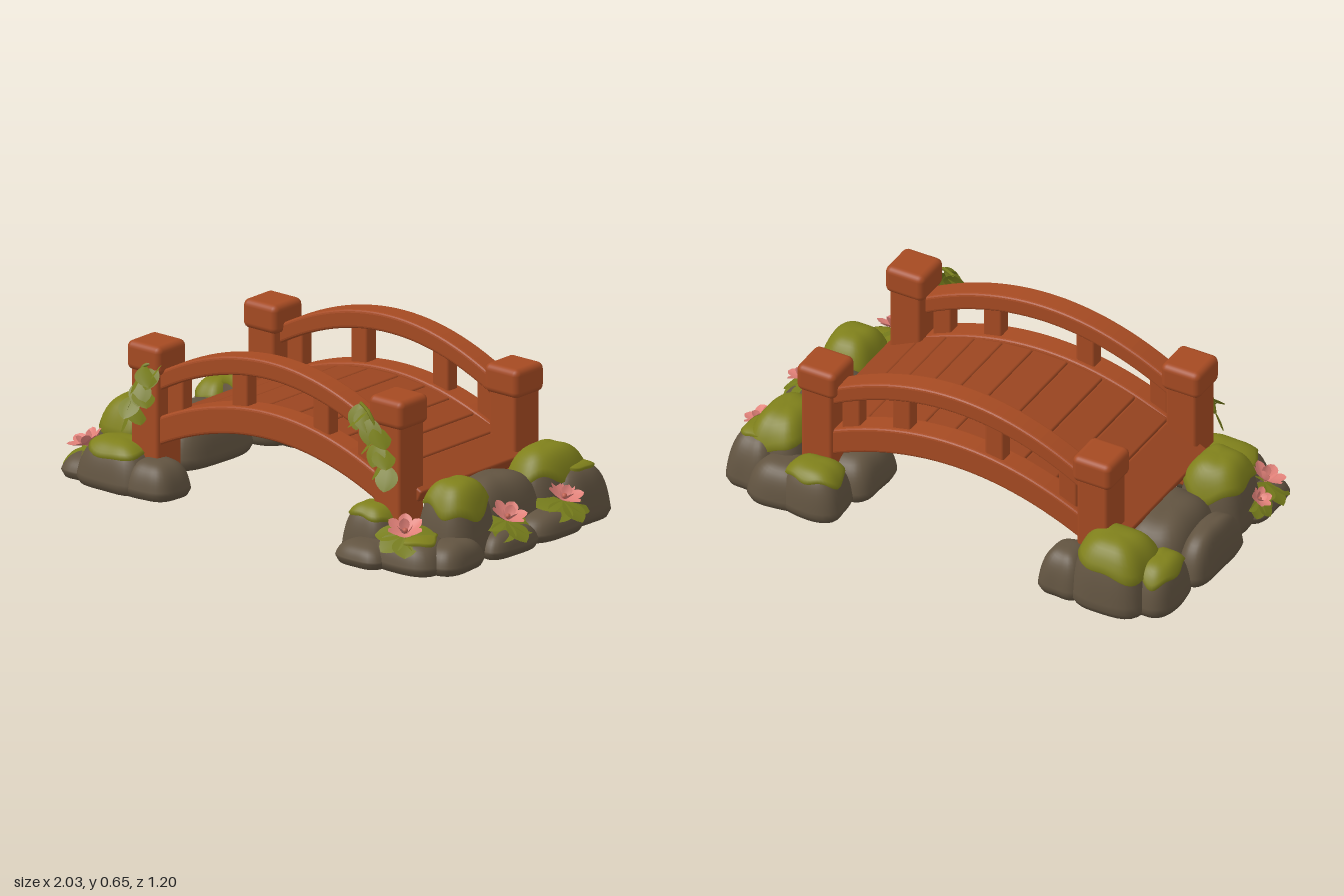
import * as THREE from 'three';
import { RoundedBoxGeometry } from 'three/addons/geometries/RoundedBoxGeometry.js';

const mat = (name, color, side = THREE.FrontSide) => {
  const m = new THREE.MeshStandardMaterial({ color, side });
  m.name = name;
  return m;
};

export function createModel() {
  const wood = mat('red wood', 0xa54a22);
  const plankWood = mat('plank wood', 0x9a4520);
  const stone = mat('stone', 0x625441);
  const moss = mat('moss', 0x7f801b, THREE.DoubleSide);
  const leafGreen = mat('leaf green', 0x777d1c, THREE.DoubleSide);
  const pink = mat('petal pink', 0xe08078, THREE.DoubleSide);
  const heart = mat('flower heart', 0xc0604f);

  const model = new THREE.Group();
  model.name = 'gardenBridge';
  const add = (name, geo, material, parent = model) => {
    const m = new THREE.Mesh(geo, material);
    m.name = name;
    parent.add(m);
    return m;
  };
  const box = (name, x, y, z, w, h, d, r, material = wood) => {
    const m = add(name, new RoundedBoxGeometry(w, h, d, 3, r), material);
    m.position.set(x, y, z);
    return m;
  };

  // Arched timbers: a band between two parabolas, extruded across z
  const arch = (name, top, bottom, curve, half, z, depth) => {
    const b = 0.012, n = 28, lower = [], upper = [];
    for (let i = 0; i <= n; i++) {
      const x = -half + (2 * half * i) / n, drop = curve * x * x;
      lower.push(new THREE.Vector2(x, bottom + b - drop));
      upper.unshift(new THREE.Vector2(x, top - b - drop));
    }
    const g = new THREE.ExtrudeGeometry(new THREE.Shape([...lower, ...upper]), {
      depth: depth - 2 * b, bevelSize: b, bevelThickness: b, bevelSegments: 3,
    });
    g.translate(0, 0, z - depth / 2 + b);
    add(name, g, wood);
  };
  for (const [side, z, top] of [['front', 0.333, 0.638], ['back', -0.365, 0.65]]) {
    arch(side + 'Handrail', top, top - 0.075, 0.52, 0.57, z, 0.095);
    arch(side + 'Beam', 0.437, 0.325, 0.45, 0.6, z, 0.1);
    for (const x of [-0.485, -0.165, 0.24, 0.46]) {
      const lo = 0.39 - 0.45 * x * x, hi = top - 0.03 - 0.52 * x * x;
      box(side + 'Baluster', x, (lo + hi) / 2, z, 0.08, hi - lo, 0.06, 0.01);
    }
  }

  // Posts with blocky caps: x, z, cap top
  for (const [x, z, top] of [
    [-0.61, 0.325, 0.585], [0.587, 0.315, 0.62], [-0.61, -0.355, 0.58], [0.592, -0.355, 0.58],
  ]) {
    box('post', x, (top - 0.02) / 2 + 0.02, z, 0.135, top - 0.06, 0.145, 0.015);
    box('postCap', x, top - 0.058, z, 0.17, 0.116, 0.168, 0.026);
  }

  // Deck planks following the arch
  const edges = [-0.705, -0.53, -0.39, -0.25, -0.1, 0.05, 0.18, 0.3, 0.42, 0.53, 0.67];
  for (let i = 0; i < edges.length - 1; i++) {
    const x = (edges[i] + edges[i + 1]) / 2, slope = Math.atan(-0.8 * x);
    const w = (edges[i + 1] - edges[i]) / Math.cos(slope);
    const p = box('plank', x, 0.395 - 0.4 * x * x, -0.02, w, 0.05, 0.62, 0.009, plankWood);
    p.rotation.z = slope;
  }

  // Closed rings of points, from the top down
  const loft = (rows, cols, fn) => {
    const pos = [], idx = [];
    for (let i = 0; i <= rows; i++) {
      for (let j = 0; j < cols; j++) {
        pos.push(...fn(i, (j / cols) * Math.PI * 2));
        if (i === rows) continue;
        const a = i * cols + j, b = i * cols + ((j + 1) % cols);
        idx.push(a, b, a + cols, b, b + cols, a + cols);
      }
    }
    const g = new THREE.BufferGeometry();
    g.setAttribute('position', new THREE.Float32BufferAttribute(pos, 3));
    g.setIndex(idx);
    g.computeVertexNormals();
    return g;
  };

  // Boulders: rounded boxes with a flat foot, and an optional moss blanket
  const boulder = (cx, cz, a, b, h, cover = 0) => {
    const seed = cx * 17 + cz * 29, base = 0.025;
    const point = (t, phi, grow) => {
      const d = [Math.sin(t) * Math.cos(phi), Math.cos(t), Math.sin(t) * Math.sin(phi)];
      let r = d.reduce((s, v) => s + Math.abs(v) ** 3.2, 0) ** (-1 / 3.2);
      r *= 1 + Math.sin(t) ** 2 * (0.03 * Math.sin(3 * phi + seed) + 0.015 * Math.sin(5 * phi + 2 * seed));
      const taper = 1 - 0.18 * Math.max(0, d[1] * r);
      return [
        cx + d[0] * r * taper * (a + grow),
        base + d[1] * r * (h - base + grow),
        cz + d[2] * r * taper * (b + grow),
      ];
    };
    const rows = 16;
    add('boulder', loft(rows + 2, 40, (i, phi) => {
      if (i <= rows) return point((i / rows) * Math.PI / 2, phi, 0);
      if (i === rows + 2) return [cx, 0, cz];
      const p = point(Math.PI / 2, phi, -0.012);
      return [p[0], 0, p[2]];
    }), stone);
    if (!cover) return;
    add('moss', loft(12, 48, (i, phi) => {
      const edge = cover + 0.07 * Math.sin(2 * phi + seed) + 0.04 * Math.sin(5 * phi + seed * 2);
      return i < 12 ? point(edge * i / 11, phi, 0.008) : point(edge + 0.03, phi, -0.01);
    }), moss);
  };
  const boulders = [
    // left bank
    [-0.53, -0.46, 0.1, 0.11, 0.18], [-0.72, -0.43, 0.17, 0.15, 0.28, 1.05],
    [-0.89, -0.38, 0.085, 0.13, 0.2, 0.95], [-0.925, -0.08, 0.075, 0.18, 0.19],
    [-0.74, -0.07, 0.15, 0.22, 0.205], [-0.81, 0.2, 0.14, 0.15, 0.285, 1.05],
    [-0.73, 0.39, 0.17, 0.125, 0.18, 0.9], [-0.55, 0.39, 0.115, 0.11, 0.14],
    [-0.88, 0.34, 0.11, 0.14, 0.09],
    // right bank
    [0.56, -0.49, 0.135, 0.11, 0.195, 0.9], [0.7, -0.48, 0.13, 0.12, 0.17],
    [0.5, -0.27, 0.12, 0.15, 0.165],
    [0.77, -0.33, 0.13, 0.18, 0.292, 1.05], [0.84, -0.4, 0.11, 0.15, 0.22, 0.6],
    [0.74, -0.05, 0.14, 0.22, 0.245], [0.9, 0.06, 0.085, 0.14, 0.1],
    [0.89, -0.2, 0.09, 0.15, 0.1], [0.79, 0.21, 0.125, 0.145, 0.292, 1.02],
    [0.76, 0.43, 0.15, 0.125, 0.125, 0.75], [0.59, 0.5, 0.115, 0.1, 0.085],
    [0.53, 0.39, 0.11, 0.1, 0.19, 0.9], [0.88, 0.35, 0.095, 0.13, 0.11],
  ];
  boulders.forEach((r) => boulder(...r));

  // Blade growing along +z, rounded, folded on its midrib and curling at the tip
  const blade = (length, width, curl, fold, skew) => {
    const g = new THREE.PlaneGeometry(2, 1, 4, 10), p = g.attributes.position;
    for (let i = 0; i < p.count; i++) {
      const v = p.getX(i), u = p.getY(i) + 0.5;
      const w = (width / 2) * Math.max(0, Math.sin(Math.PI * u ** skew)) ** 0.75;
      p.setXYZ(i, v * w, curl * u * u + fold * Math.abs(v) * w, u * length);
    }
    g.computeVertexNormals();
    return g;
  };
  const petal = blade(0.08, 0.052, 0.016, 0.2, 1.6);
  const pad = blade(0.12, 0.1, -0.015, 0.08, 1.2);
  const vineLeaf = blade(0.105, 0.092, -0.018, -0.15, 0.95);
  const sprout = (name, geo, material, parent, yaw, pitch) => {
    const m = add(name, geo, material, parent);
    m.rotation.set(pitch, yaw, 0, 'YXZ');
    return m;
  };

  // Water lilies leaning outwards: position, lean direction, size
  for (const [x, y, z, lx, lz, size] of [
    [0.76, 0.135, 0.48, 0.25, 0.3, 1], [0.905, 0.118, 0.06, 0.45, 0, 1],
    [0.91, 0.118, -0.265, 0.45, 0, 1], [-0.915, 0.1, 0.36, -0.35, 0.3, 1],
    [-0.95, 0.095, 0.25, -0.7, 0, 0.65],
  ]) {
    const lily = new THREE.Group();
    lily.name = 'lily';
    lily.position.set(x, y, z);
    lily.scale.setScalar(size);
    lily.quaternion.setFromUnitVectors(
      new THREE.Vector3(0, 1, 0), new THREE.Vector3(lx, 1, lz).normalize());
    const facing = Math.atan2(lx, lz);
    for (let i = 0; i < 6; i++) {
      const t = facing + (i / 6) * Math.PI * 2;
      sprout('petal', petal, pink, lily, t, -0.25).position.y = 0.012;
      if (i < 3) sprout('innerPetal', petal, pink, lily, 2 * t + 0.5, -0.85).scale.setScalar(0.8);
      if (i < 5) sprout('lilyLeaf', pad, leafGreen, lily, facing + (i - 2) * 0.9, 0.04 + 0.05 * (i % 2));
    }
    add('flowerHeart', new THREE.SphereGeometry(0.011, 12, 8), heart, lily).position.y = 0.022;
    model.add(lily);
  }

  // Vines trailing off the rail and down the front posts
  const vines = [
    [[-0.53, 0.525, 0.38], [-0.6, 0.5, 0.415], [-0.61, 0.43, 0.41], [-0.65, 0.38, 0.405], [-0.67, 0.32, 0.405]],
    [[0.45, 0.57, 0.375], [0.52, 0.555, 0.41], [0.56, 0.49, 0.41], [0.57, 0.43, 0.4], [0.61, 0.36, 0.4]],
  ];
  vines.forEach((pts, k) => {
    const path = new THREE.CatmullRomCurve3(pts.map((p) => new THREE.Vector3(...p)));
    add('vineStem', new THREE.TubeGeometry(path, 32, 0.007, 6), leafGreen);
    for (let i = 0; i < 10; i++) {
      const yaw = [-1, 0.2, 1][(i + k) % 3] + 0.2 * Math.sin(i * 5);
      const leaf = sprout('vineLeaf', vineLeaf, leafGreen, model, yaw, 0.75 + 0.3 * Math.sin(i * 2.3 + k));
      leaf.position.copy(path.getPoint(i / 9));
    }
  });
  return model;
}
